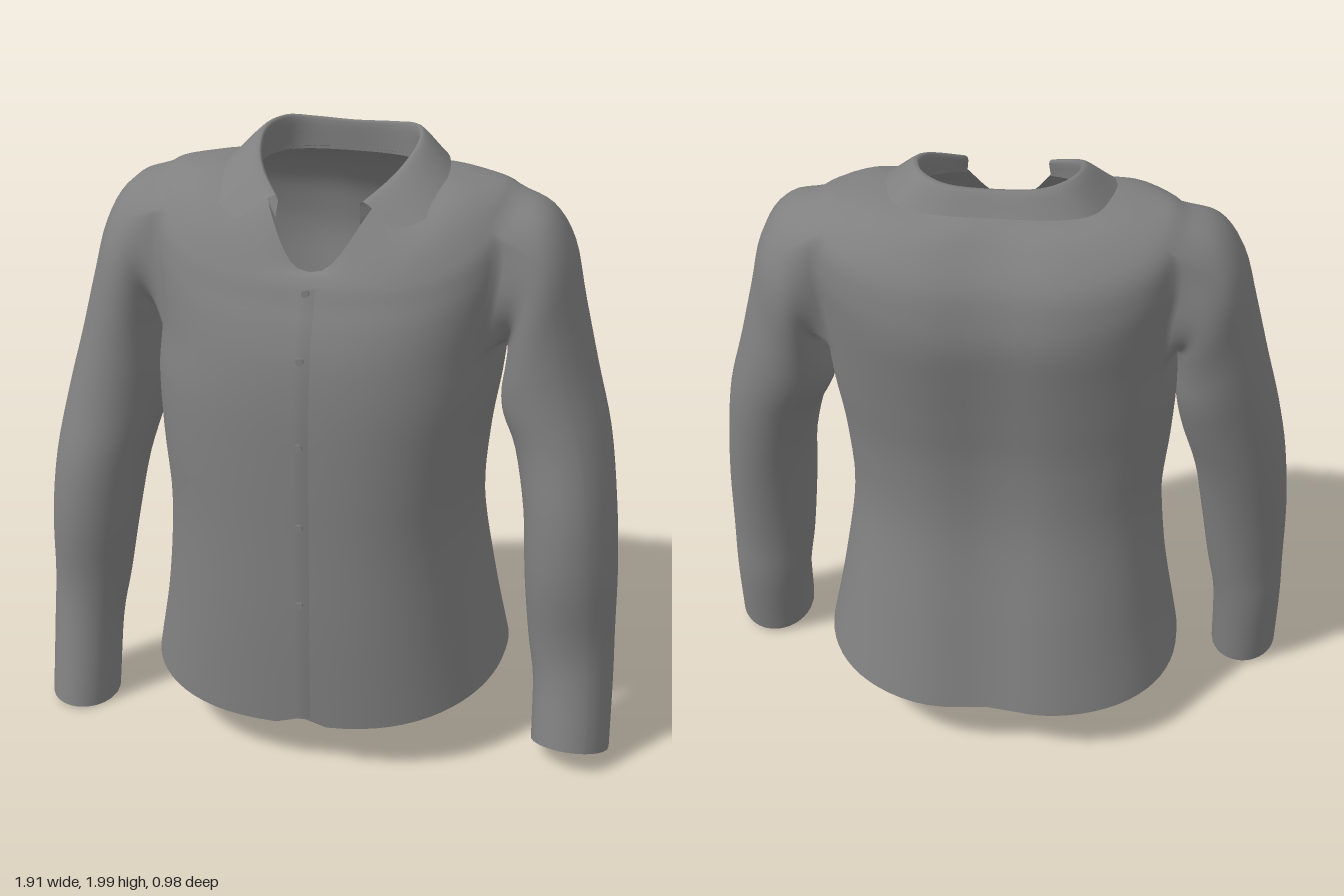
import * as THREE from 'three';

const COLS = 72, SUB = 5;
const V = (x, y, z) => new THREE.Vector3(x, y, z);
const pw = (v, p) => Math.sign(v) * Math.abs(v) ** p;
const smooth = (pts) => new THREE.CatmullRomCurve3(pts, false, 'catmullrom', 0.5);

// Torso sections from hem to neckline:
// left width, right width, y side/front/back, z side/front/back, roundness, front roundness, y falloff
const TORSO = [
  [0.57, 0.61, 0.24, 0.165, 0.20, -0.02, 0.48, -0.49, 0.85, 0.85, 2],
  [0.52, 0.555, 0.50, 0.50, 0.48, 0, 0.49, -0.425, 0.82, 0.82, 2],
  [0.48, 0.53, 0.80, 0.80, 0.80, 0.02, 0.49, -0.355, 0.8, 0.8, 2],
  [0.495, 0.55, 1.05, 1.05, 1.05, 0.02, 0.49, -0.345, 0.8, 0.8, 2],
  [0.525, 0.56, 1.25, 1.25, 1.25, 0.01, 0.485, -0.365, 0.8, 0.8, 2],
  [0.54, 0.55, 1.40, 1.40, 1.40, 0, 0.468, -0.385, 0.8, 0.8, 2],
  [0.56, 0.56, 1.57, 1.50, 1.53, 0, 0.44, -0.4, 0.8, 0.8, 1.4],
  [0.575, 0.575, 1.73, 1.57, 1.63, -0.02, 0.41, -0.39, 0.8, 0.8, 1.2],
  [0.55, 0.55, 1.853, 1.62, 1.73, -0.03, 0.39, -0.36, 0.8, 0.8, 1.2],
  [0.42, 0.42, 1.882, 1.65, 1.83, -0.02, 0.37, -0.285, 0.8, 0.8, 2],
  [0.26, 0.26, 1.89, 1.66, 1.89, 0, 0.35, -0.19, 0.8, 2.2, 8],
];
const HOLE = { from: 5 * SUB, to: 8 * SUB, left: 13, right: 49, width: 10 };

// Sleeve sections: outer x/y, inner x/y, z front/back, tilt of the front edge
const LEFT_SLEEVE = [
  [0.66, 1.81, 0.55, 1.36, 0.21, -0.22, 0],
  [0.735, 1.70, 0.545, 1.30, 0.225, -0.22, 0],
  [0.78, 1.52, 0.535, 1.22, 0.23, -0.20, 0],
  [0.83, 1.32, 0.545, 1.15, 0.235, -0.18, 0],
  [0.885, 1.12, 0.59, 1.05, 0.25, -0.14, 0],
  [0.92, 0.90, 0.63, 0.86, 0.285, -0.09, 0],
  [0.94, 0.68, 0.645, 0.65, 0.29, -0.04, 0],
  [0.945, 0.45, 0.665, 0.44, 0.265, 0, 0],
  [0.95, 0.28, 0.69, 0.27, 0.275, 0.015, 0.02],
  [0.955, 0.05, 0.70, 0.06, 0.32, 0.06, 0.04],
];
const RIGHT_SLEEVE = [
  [0.66, 1.81, 0.55, 1.38, 0.21, -0.22, 0],
  [0.74, 1.70, 0.555, 1.34, 0.225, -0.22, 0],
  [0.79, 1.52, 0.555, 1.27, 0.23, -0.20, 0],
  [0.84, 1.32, 0.555, 1.18, 0.235, -0.18, 0],
  [0.89, 1.12, 0.58, 1.05, 0.25, -0.14, 0],
  [0.93, 0.90, 0.63, 0.87, 0.285, -0.09, 0],
  [0.95, 0.68, 0.665, 0.66, 0.29, -0.04, 0],
  [0.955, 0.45, 0.70, 0.44, 0.27, 0, 0],
  [0.96, 0.28, 0.73, 0.27, 0.285, 0.02, 0],
  [0.96, 0.025, 0.74, 0.005, 0.34, 0.06, 0],
];

function torsoPoint(row, r, i) {
  const [aL, aR, yS, yF, yB, zS, zF, zB, p, pF, k] = row;
  const t = (i / COLS) * Math.PI * 2;
  const s = Math.sin(t), c = Math.cos(t);
  const x = (s > 0 ? aL : aR) * pw(s, 0.8);
  const end = c > 0 ? [yF, zF, pF] : [yB, zB, p];
  let y = yS + (end[0] - yS) * Math.abs(c) ** k;
  let z = zS + (end[1] - zS) * Math.abs(c) ** end[2];
  if (r === 0 && s < 0) y += 0.04 * s;                              // lower right side of hem
  if (r === 0 && i === 0) y += 0.025;                               // notch at front of hem
  if (c < 0 && r < 10) z += 0.03 * Math.exp(-((x / 0.13) ** 2));    // groove along the spine
  return V(x, y, z);
}

function makeGeometry(points, index) {
  const geo = new THREE.BufferGeometry().setFromPoints(points);
  geo.setIndex(index);
  geo.computeVertexNormals();
  return geo;
}

// One skin: torso with two armholes, and sleeves grown from the armhole edges
function bodyGeometry() {
  const rows = (TORSO.length - 1) * SUB;
  const points = [], index = [];
  const quad = (a, b, c, d) => index.push(a, b, c, a, c, d);
  const at = (r, i) => r * COLS + (i % COLS);

  const columns = [];
  for (let i = 0; i < COLS; i++) columns.push(smooth(TORSO.map((row, r) => torsoPoint(row, r, i))));
  for (let r = 0; r <= rows; r++) for (const col of columns) points.push(col.getPoint(r / rows));

  const inHole = (r, i) => r >= HOLE.from && r < HOLE.to &&
    [HOLE.left, HOLE.right].some((h) => i >= h && i < h + HOLE.width);
  for (let r = 0; r < rows; r++) {
    for (let i = 0; i < COLS; i++) {
      if (!inHole(r, i)) quad(at(r, i), at(r, i + 1), at(r + 1, i + 1), at(r + 1, i));
    }
  }

  const sleeve = (start, side, table) => {
    const loop = [], end = start + HOLE.width;
    for (let i = start; i < end; i++) loop.push(at(HOLE.from, i));
    for (let r = HOLE.from; r < HOLE.to; r++) loop.push(at(r, end));
    for (let i = end; i > start; i--) loop.push(at(HOLE.to, i));
    for (let r = HOLE.to; r > HOLE.from; r--) loop.push(at(r, start));

    const steps = table.length * 4;
    const strands = loop.map((id) => {
      const p = points[id];
      const phi = Math.atan2(p.z / 0.19, (p.y - 1.63) / 0.23);
      const c = Math.cos(phi), s = Math.sin(phi);
      const path = table.map(([ox, oy, ix, iy, zf, zb, tilt]) => V(
        side * ((ox + ix) / 2 + (c * (ox - ix)) / 2),
        (oy + iy) / 2 + (c * (oy - iy)) / 2 + s * tilt,
        (zf + zb) / 2 + (s * (zf - zb)) / 2));
      const curve = smooth([p, ...path]);
      const ids = [id];
      for (let j = 1; j <= steps; j++) ids.push(points.push(curve.getPoint(j / steps)) - 1);
      return ids;
    });
    strands.forEach((a, n) => {
      const b = strands[(n + 1) % strands.length];
      for (let j = 0; j < steps; j++) quad(a[j], b[j], b[j + 1], a[j + 1]);
    });
  };
  sleeve(HOLE.left, 1, LEFT_SLEEVE);
  sleeve(HOLE.right, -1, RIGHT_SLEEVE);
  return makeGeometry(points, index);
}

// Open cloth strip through a few guide curves
function clothGeometry(guides, along, across) {
  const points = [], index = [];
  for (let i = 0; i <= along; i++) {
    const section = smooth(guides.map((g) => g.getPoint(i / along)));
    for (let j = 0; j <= across; j++) points.push(section.getPoint(j / across));
  }
  const w = across + 1;
  for (let i = 0; i < along; i++) {
    for (let j = 0; j < across; j++) {
      const a = i * w + j;
      index.push(a, a + w, a + w + 1, a, a + w + 1, a + 1);
    }
  }
  return makeGeometry(points, index);
}

// Curve around the neck from its left half, listed from back to front
function neckCurve(half) {
  const left = half.map((p) => V(...p));
  const right = half.slice(1).reverse().map(([x, y, z]) => V(-x, y, z));
  return smooth([...right, ...left]);
}

export function createModel() {
  const group = new THREE.Group();
  group.name = 'shirt';
  const cloth = new THREE.MeshStandardMaterial({ color: 0x808080, side: THREE.DoubleSide });
  cloth.name = 'grey cloth';
  const add = (name, geo) => {
    const mesh = new THREE.Mesh(geo, cloth);
    mesh.name = name;
    group.add(mesh);
    return mesh;
  };

  add('bodyAndSleeves', bodyGeometry());

  // Collar: stand, fold and turned-down leaf
  const stand = neckCurve([[0, 1.88, -0.19], [0.13, 1.88, -0.18], [0.21, 1.88, -0.14], [0.25, 1.88, -0.04],
    [0.235, 1.86, 0.08], [0.19, 1.83, 0.17], [0.13, 1.79, 0.26]]);
  const fold = neckCurve([[0, 1.98, -0.19], [0.13, 1.985, -0.185], [0.21, 1.995, -0.14], [0.245, 1.985, -0.04],
    [0.235, 1.95, 0.07], [0.2, 1.905, 0.16], [0.135, 1.855, 0.245]]);
  const leaf = neckCurve([[0, 1.91, -0.24], [0.17, 1.91, -0.235], [0.29, 1.905, -0.18], [0.34, 1.9, -0.04],
    [0.345, 1.87, 0.1], [0.325, 1.815, 0.22], [0.24, 1.79, 0.29]]);
  add('collar', clothGeometry([stand, fold, leaf], 60, 10));

  // Front placket: raised overlapping edge down the middle
  const front = TORSO.slice(0, 9);
  const strip = (x, lift) => smooth(front.map((r, n) => V(x, r[3] + (n ? 0 : 0.025), r[6] + lift)));
  add('placket', clothGeometry([strip(0.035, -0.002), strip(0, 0.006), strip(-0.03, 0.006)], 40, 4));

  // Buttons
  const buttonGeo = new THREE.CylinderGeometry(0.012, 0.012, 0.008, 16).rotateX(Math.PI / 2);
  [[0.61, 0.498], [0.88, 0.498], [1.15, 0.497], [1.42, 0.472], [1.61, 0.402]].forEach(([y, z]) => {
    add('button', buttonGeo).position.set(0, y, z);
  });
  return group;
}
